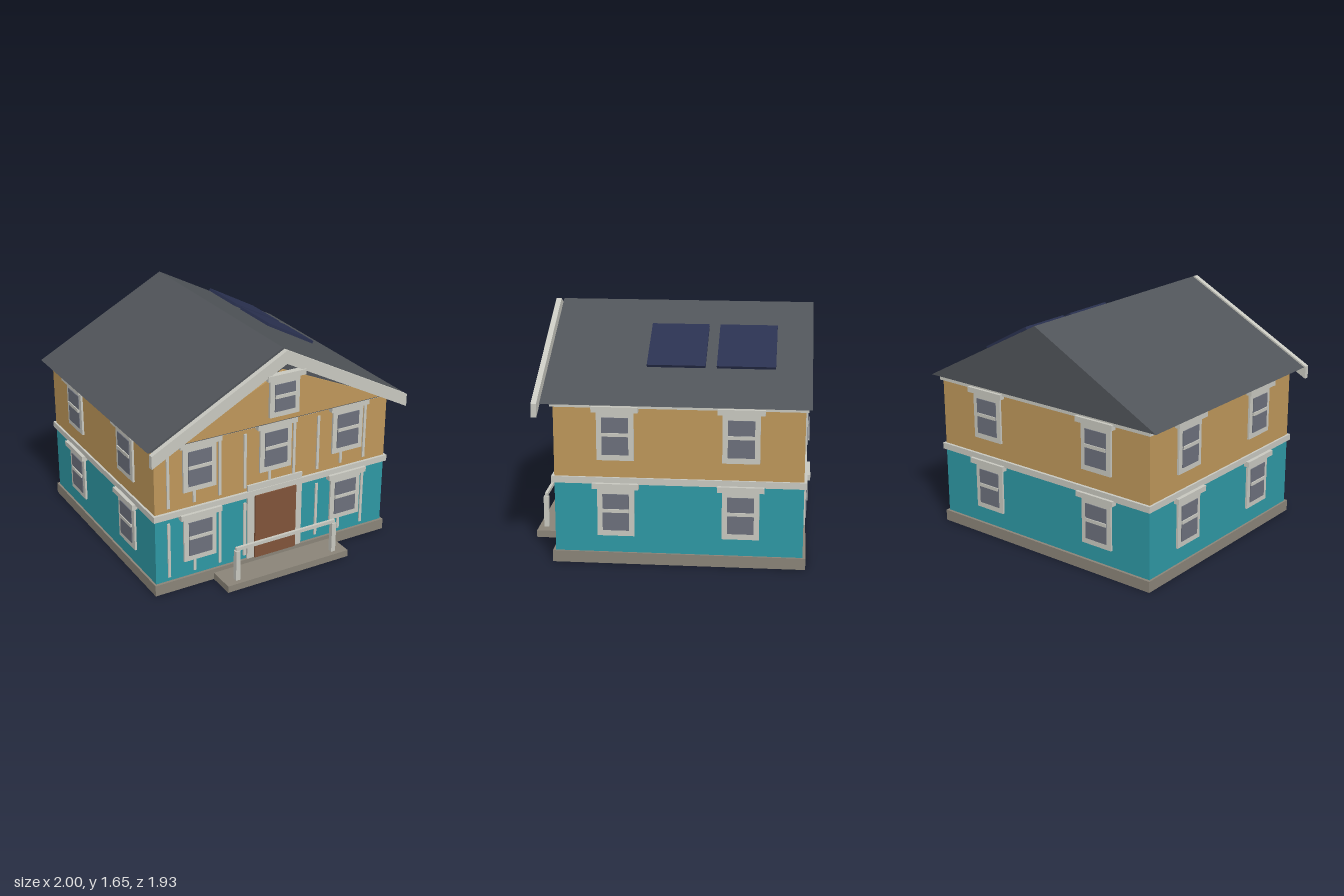
import * as THREE from 'three';

const mat = (name, color) => {
  const m = new THREE.MeshStandardMaterial({ color });
  m.name = name;
  return m;
};

export function createModel() {
  const teal = mat('teal siding', 0x2e98a4);
  const ochre = mat('ochre siding', 0xbe975a);
  const trim = mat('pale trim', 0xc8c8c0);
  const stone = mat('stone', 0x8a8478);
  const slate = mat('slate roof', 0x505459);
  const glass = mat('window glass', 0x6c707c);
  const wood = mat('door wood', 0x80543a);
  const solar = mat('solar blue', 0x2a3150);

  const house = new THREE.Group();
  house.name = 'house';

  // Box given by its limits on each axis
  function box(name, material, x0, x1, y0, y1, z0, z1, parent = house) {
    const mesh = new THREE.Mesh(new THREE.BoxGeometry(x1 - x0, y1 - y0, z1 - z0), material);
    mesh.position.set((x0 + x1) / 2, (y0 + y1) / 2, (z0 + z1) / 2);
    mesh.name = name;
    parent.add(mesh);
    return mesh;
  }

  // Outline in x and y, extruded from z0 to z1
  function slab(name, material, points, z0, z1) {
    const shape = new THREE.Shape(points.map(([x, y]) => new THREE.Vector2(x, y)));
    const geometry = new THREE.ExtrudeGeometry(shape, { depth: z1 - z0, bevelEnabled: false });
    const mesh = new THREE.Mesh(geometry, material);
    mesh.position.z = z0;
    mesh.name = name;
    house.add(mesh);
  }

  // Body: foundation, two storeys and trim bands
  const front = 0.745, back = -0.925, side = 0.925;
  box('foundation', stone, -0.94, 0.94, 0, 0.08, -0.945, 0.765);
  box('lowerWalls', teal, -side, side, 0.08, 0.565, back, front);
  box('middleBand', trim, -0.94, 0.94, 0.565, 0.61, -0.945, 0.765);
  box('upperWalls', ochre, -side, side, 0.61, 1.09, back, front);
  box('topBand', trim, -0.94, 0.94, 1.09, 1.122, -0.945, 0.765);

  // Roof, gable panel and barge boards
  slab('roof', slate, [[-1, 1.122], [1, 1.122], [0, 1.65]], -0.965, 0.82);
  slab('gablePanel', ochre, [[-0.82, 1.137], [0.82, 1.137], [0, 1.5]], 0.82, 0.84);
  slab('bargeBoards', trim,
    [[-1, 1.03], [0, 1.555], [1, 1.03], [1, 1.122], [0, 1.65], [-1, 1.122]], 0.84, 0.877);

  // Sash window facing +z, with its origin at the sill on the wall surface
  function sashWindow(x, y, z, turn = 0, w = 0.125, h = 0.335) {
    const g = new THREE.Group();
    g.name = 'window';
    const gw = w - 0.036;
    const mid = h / 2 + 0.012;
    box('windowFrame', trim, -w, w, 0, h, -0.005, 0.015, g);
    box('windowHeader', trim, -w - 0.031, w + 0.031, h, h + 0.038, -0.005, 0.041, g);
    box('windowGlass', glass, -gw, gw, 0.04, h - 0.04, 0.014, 0.021, g);
    box('windowRail', trim, -gw, gw, mid - 0.012, mid + 0.012, 0.014, 0.028, g);
    g.position.set(x, y, z);
    g.rotation.y = turn;
    house.add(g);
  }

  for (const y of [0.2, 0.73]) {
    for (const s of [-1, 1]) {
      sashWindow(s * 0.59, y, front);
      sashWindow(s * 0.49, y, back, Math.PI);
      for (const z of [0.33, -0.507]) sashWindow(s * side, y, z, s * Math.PI / 2);
    }
  }
  sashWindow(0, 0.73, front);
  sashWindow(0, 1.18, 0.845, 0, 0.115, 0.275);

  // Vertical battens across the front
  for (let i = 0; i < 9; i++) {
    const x = -0.825 + i * 0.1957;
    box('upperBatten', trim, x - 0.01, x + 0.01, 0.64, 1.05, front - 0.005, front + 0.009);
    if (i !== 4 && i !== 5) {
      box('lowerBatten', trim, x - 0.01, x + 0.01, 0.11, 0.525, front - 0.005, front + 0.009);
    }
  }

  // Front door
  box('doorFrame', trim, -0.22, 0.22, 0.08, 0.655, front - 0.005, 0.76);
  box('door', wood, -0.165, 0.165, 0.08, 0.57, front, 0.774);

  // Porch step with its railing
  box('porchStep', stone, -0.49, 0.49, 0, 0.05, 0.76, 0.967);
  for (const s of [-1, 1]) {
    box('railingPost', trim, s * 0.39 - 0.017, s * 0.39 + 0.017, 0.05, 0.277, 0.895, 0.93);
  }
  box('handrail', trim, -0.4, 0.4, 0.277, 0.302, 0.902, 0.922);

  // Solar panels raised above the left roof slope
  for (const z of [-0.0525, -0.5225]) {
    const panel = box('solarPanel', solar, -0.2175, 0.2175, -0.01, 0.01, -0.1975, 0.1975);
    panel.position.set(0.493, 1.425, z);
    panel.rotation.z = -0.5;
  }

  return house;
}
